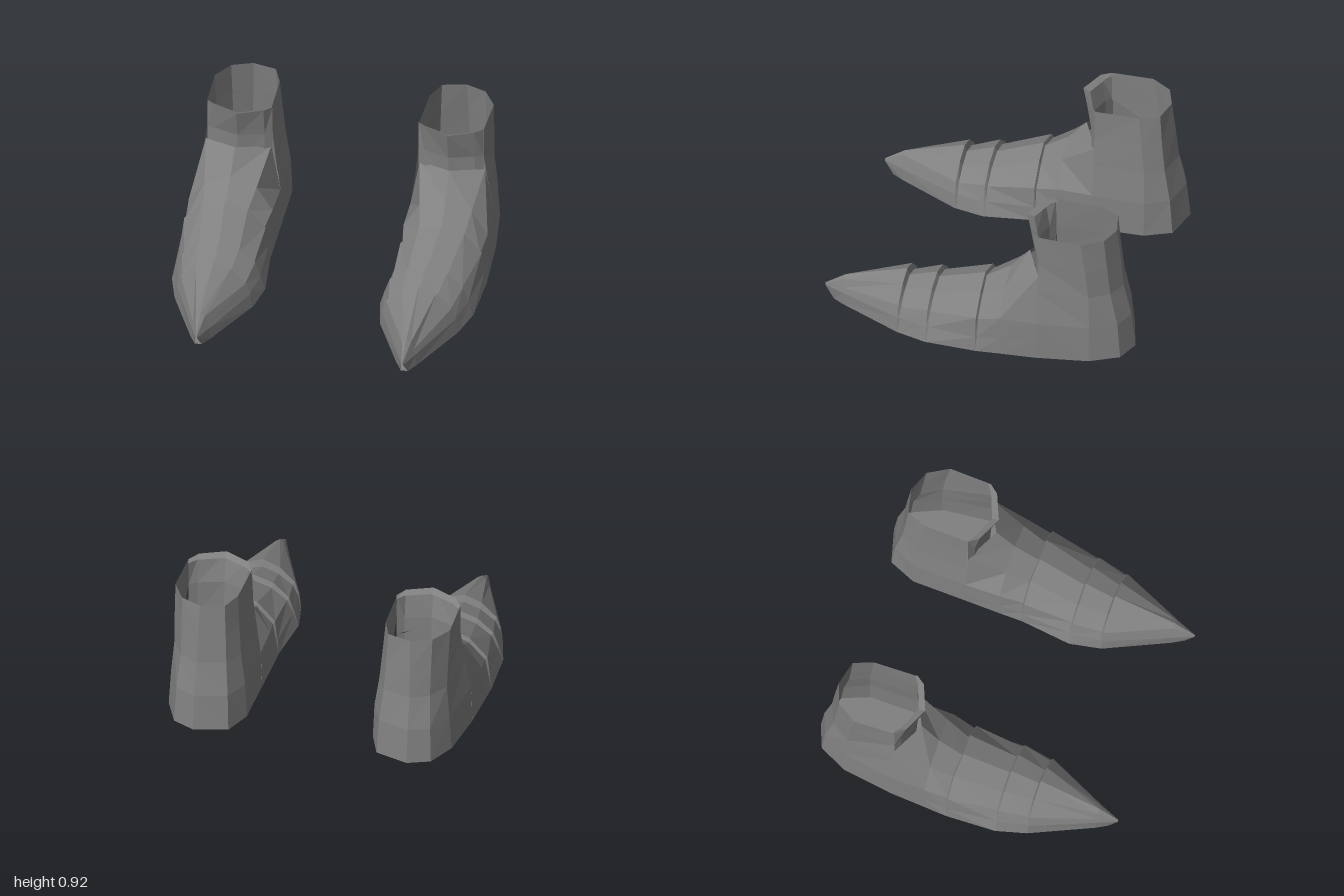
import * as THREE from 'three';

const grey = new THREE.MeshStandardMaterial({ color: 0x808080, side: THREE.DoubleSide });
grey.name = 'grey leather';

// The sole rises gently toward the heel
const soleY = (z) => Math.max(0, (0.45 - z) * 0.0276);

// Faceted surface through rows of [x, y, z] points
function loft(name, rows) {
  const pos = [];
  for (let i = 0; i < rows.length - 1; i++) {
    for (let j = 0; j < rows[i].length - 1; j++) {
      const a = rows[i][j], b = rows[i][j + 1], c = rows[i + 1][j + 1], d = rows[i + 1][j];
      pos.push(...a, ...b, ...d, ...b, ...c, ...d);
    }
  }
  const geo = new THREE.BufferGeometry();
  geo.setAttribute('position', new THREE.Float32BufferAttribute(pos, 3));
  geo.computeVertexNormals();
  const mesh = new THREE.Mesh(geo, grey);
  mesh.name = name;
  return mesh;
}

// Arched foot section; half points are [half width, y, z offset], sole first, then up to the centre
function section(z, cx, half, centreY, centreDz = 0) {
  const side = (s) => half.map(([w, y, dz = 0], i) => [cx + s * w, i === 0 ? soleY(z + dz) : y, z + dz]);
  return [...side(1), [cx, centreY, z + centreDz], ...side(-1).reverse()];
}

// Foot sections, heel side to toe. "Low" ends tuck under the lifted back edge of the next plate.
const ankle = section(-0.43, 0.672, [[0.275, 0], [0.272, 0.15], [0.266, 0.28], [0.207, 0.61]], 0.645, 0.11);
const instep = section(-0.2, 0.676, [[0.282, 0], [0.275, 0.13], [0.266, 0.28], [0.165, 0.44]], 0.5);
const midLow = section(-0.055, 0.68, [[0.286, 0], [0.268, 0.11], [0.246, 0.235], [0.14, 0.35]], 0.395, 0.01);
const midHigh = section(-0.045, 0.68, [[0.286, 0], [0.275, 0.11], [0.258, 0.25], [0.145, 0.375]], 0.415, 0.01);
const ballLow = section(0.265, 0.655, [[0.295, 0], [0.262, 0.1], [0.222, 0.19], [0.125, 0.265]], 0.303);
const ballHigh = section(0.28, 0.655, [[0.295, 0], [0.268, 0.1], [0.232, 0.205], [0.13, 0.295]], 0.335);
const toeLow = section(0.46, 0.648, [[0.25, 0], [0.228, 0.1], [0.198, 0.165], [0.105, 0.235]], 0.27);
const toeHigh = section(0.475, 0.647, [[0.247, 0], [0.235, 0.1], [0.208, 0.18], [0.11, 0.275]], 0.316);
const toeEnd = section(0.87, 0.65, [[0.062, 0], [0.06, 0.085], [0.047, 0.12], [0.028, 0.17]], 0.19);
const tip = section(1, 0.65, [[0.022, 0, -0.06], [0.006, 0.085], [0.005, 0.092], [0.003, 0.097]], 0.1);

// Heel and shaft wall: U-shaped rings of [x, z], outer side round the heel to the inner side
const shaftRings = [
  [null, [[0.947, -0.43], [0.905, -0.76], [0.82, -0.94], [0.68, -1], [0.47, -0.94], [0.4, -0.77], [0.397, -0.43]]],
  [0.28, [[0.938, -0.43], [0.89, -0.76], [0.81, -0.92], [0.68, -0.975], [0.48, -0.92], [0.41, -0.77], [0.406, -0.43]]],
  [0.5, [[0.9, -0.43], [0.872, -0.75], [0.795, -0.87], [0.68, -0.925], [0.5, -0.88], [0.44, -0.76], [0.435, -0.43]]],
  [0.7, [[0.872, -0.43], [0.875, -0.73], [0.797, -0.85], [0.675, -0.905], [0.51, -0.86], [0.455, -0.74], [0.455, -0.43]]],
  [0.91, [[0.87, -0.43], [0.878, -0.7], [0.8, -0.83], [0.67, -0.88], [0.52, -0.845], [0.47, -0.72], [0.462, -0.43]]],
];

// Front of the collar: [y, side z, corner z, centre z]
const collarRings = [
  [0.5, -0.43, -0.4, -0.36], [0.72, -0.43, -0.4, -0.35],
  [0.92, -0.43, -0.37, -0.3], [0.9, -0.45, -0.41, -0.345],
];

function makeBoot(name) {
  const boot = new THREE.Group();
  boot.name = name;

  boot.add(
    loft('shaft', shaftRings.map(([y, ring]) => ring.map(([x, z]) => [x, y ?? soleY(z), z]))),
    loft('collarFront', collarRings.map(([y, a, b, c]) => [
      [0.458, y - 0.01, a], [0.502, y, b], [0.662, y, c], [0.82, y, b], [0.87, y - 0.01, a],
    ])),
    loft('instepPlate', [ankle, instep, midLow, midHigh]),
    loft('middlePlate', [midHigh, ballLow, ballHigh]),
    loft('frontPlate', [ballHigh, toeLow, toeHigh]),
    loft('toeCap', [toeHigh, toeEnd, tip]),
  );

  // Sole outline follows the heel ring and the foot sections
  const foot = [instep, midHigh, ballHigh, toeHigh, toeEnd, tip];
  const outline = [
    ...shaftRings[0][1],
    ...foot.map((s) => [s[s.length - 1][0], s[s.length - 1][2]]),
    ...foot.map((s) => [s[0][0], s[0][2]]).reverse(),
  ];
  const geo = new THREE.ShapeGeometry(new THREE.Shape(outline.map(([x, z]) => new THREE.Vector2(x, z))));
  geo.rotateX(Math.PI / 2);
  const p = geo.attributes.position;
  for (let i = 0; i < p.count; i++) p.setY(i, soleY(p.getZ(i)));
  geo.computeVertexNormals();
  const sole = new THREE.Mesh(geo, grey);
  sole.name = 'sole';
  boot.add(sole);
  return boot;
}

export function createModel() {
  const model = new THREE.Group();
  model.name = 'pairOfBoots';
  const left = makeBoot('leftBoot');
  // The right boot is mirrored and very slightly smaller
  const right = makeBoot('rightBoot');
  right.scale.set(-1, 0.98, 0.978);
  right.position.x = -0.008;
  model.add(left, right);
  return model;
}
